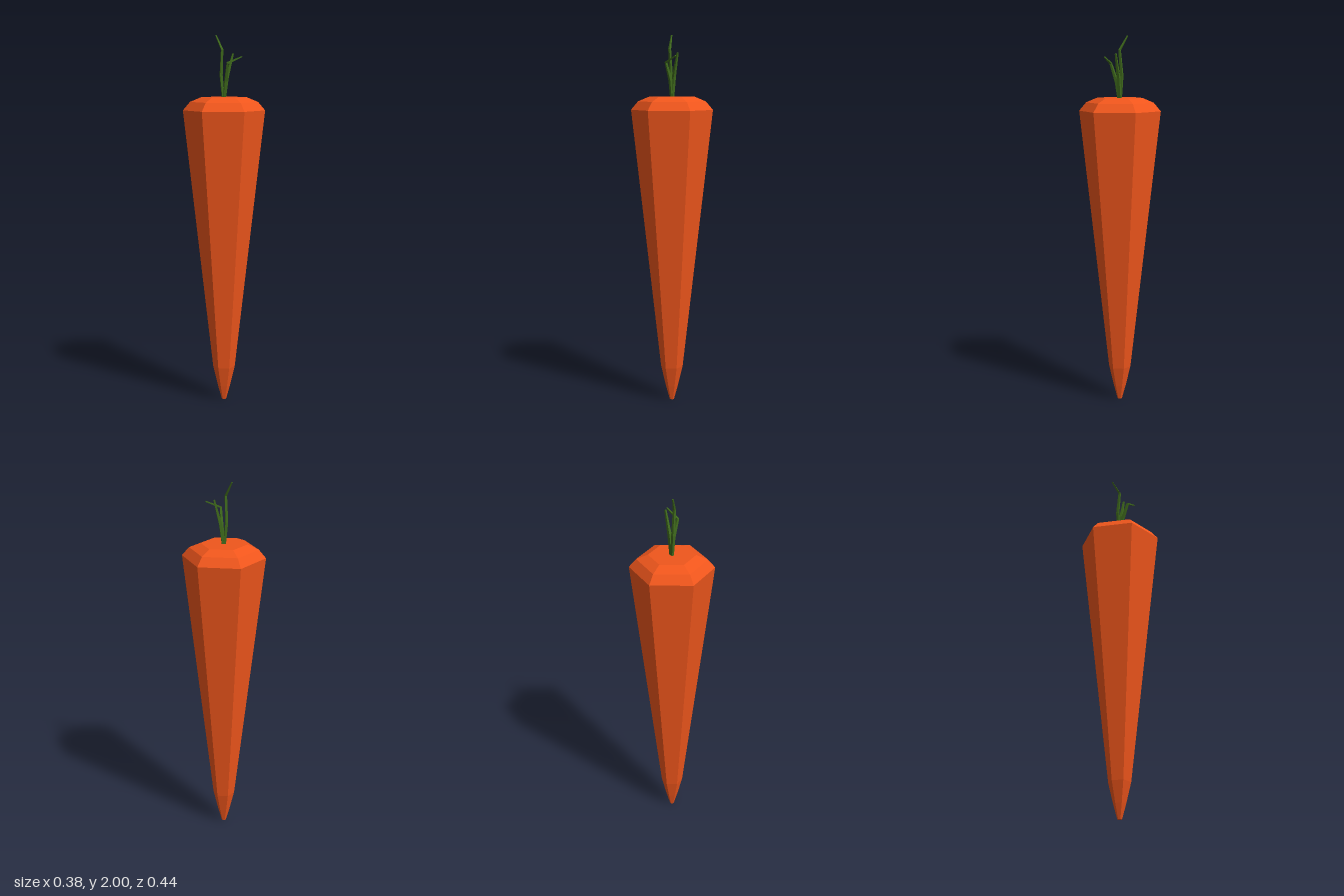
import * as THREE from 'three';

const V = (x, y, z) => new THREE.Vector3(x, y, z);
const UP = V(0, 1, 0);

// Tapered four-sided stalk: a cylinder whose rings are moved onto a bent path
function stalk(points, radii) {
  const last = points.length - 1;
  const geo = new THREE.CylinderGeometry(1, 1, last, 4, last);
  const turns = points.map((p, i) => {
    const dir = points[Math.min(i + 1, last)].clone().sub(points[Math.max(i - 1, 0)]).normalize();
    return new THREE.Quaternion().setFromUnitVectors(UP, dir);
  });
  const pos = geo.attributes.position;
  const v = V(0, 0, 0);
  for (let k = 0; k < pos.count; k++) {
    v.fromBufferAttribute(pos, k);
    const i = Math.round(v.y + last / 2);
    v.setY(0).multiplyScalar(radii[i]).applyQuaternion(turns[i]).add(points[i]);
    pos.setXYZ(k, v.x, v.y, v.z);
  }
  geo.computeVertexNormals();
  return geo;
}

export function createModel() {
  const model = new THREE.Group();
  model.name = 'carrot';
  const orange = new THREE.MeshStandardMaterial({ color: 0xf0561c, flatShading: true });
  const green = new THREE.MeshStandardMaterial({ color: 0x3f6a1c, flatShading: true });

  // Root: six-sided taper with a bevelled crown and a blunt tip
  const profile = [
    [0, 0], [0.012, 0], [0.034, 0.08], [0.06, 0.19],
    [0.22, 1.605], [0.182, 1.65], [0.122, 1.675], [0, 1.675],
  ].map(([r, y]) => new THREE.Vector2(r, y));
  const root = new THREE.Mesh(new THREE.LatheGeometry(profile, 6), orange);
  root.name = 'root';
  model.add(root);

  // Stalks: one tall, one short and upright, one bent outwards
  const stalks = {
    tallStalk: [
      [V(-0.003, 1.66, 0), V(-0.014, 1.79, 0.006), V(-0.004, 1.925, 0.012), V(-0.047, 2.0, 0.005)],
      [0.009, 0.01, 0.008, 0.004]],
    uprightStalk: [
      [V(0, 1.66, -0.002), V(0.012, 1.78, -0.012), V(0.036, 1.905, -0.033)],
      [0.01, 0.011, 0.006]],
    bentStalk: [
      [V(0.003, 1.66, 0), V(0.016, 1.76, 0.006), V(0.04, 1.855, 0.028), V(0.096, 1.888, -0.027)],
      [0.009, 0.011, 0.008, 0.004]],
  };
  for (const [name, [points, radii]] of Object.entries(stalks)) {
    const mesh = new THREE.Mesh(stalk(points, radii), green);
    mesh.name = name;
    model.add(mesh);
  }
  return model;
}
